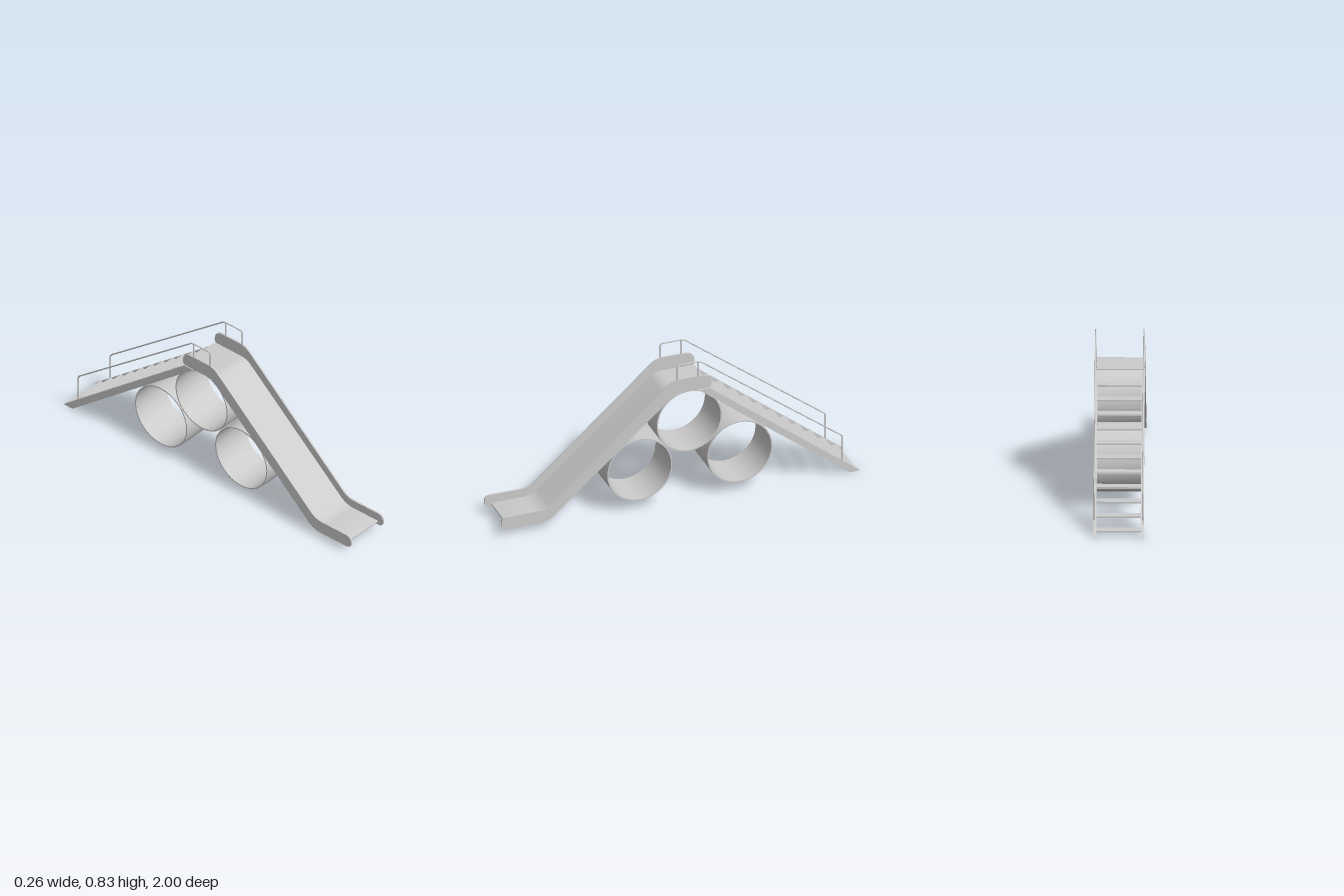
import * as THREE from 'three';
import { mergeGeometries, toCreasedNormals } from 'three/addons/utils/BufferGeometryUtils.js';

const material = new THREE.MeshStandardMaterial({ color: 0xcccccc });

// Extrude a side profile, drawn as (z, y), across x and centre it on x
function extrudeAcross(shape, width, x = 0, curveSegments = 10) {
  const geometry = new THREE.ExtrudeGeometry(shape, { depth: width, bevelEnabled: false, curveSegments });
  geometry.translate(0, 0, -width / 2);
  geometry.rotateY(-Math.PI / 2);
  geometry.translate(x, 0, 0);
  return toCreasedNormals(geometry, 0.6);
}

// Closed shape from [z, y, cornerRadius] points, with rounded corners
function roundedShape(points) {
  const shape = new THREE.Shape();
  const n = points.length;
  const v = points.map(([z, y]) => new THREE.Vector2(z, y));
  points.forEach(([, , r = 0], i) => {
    const p = v[i];
    const toward = (q) => p.clone().add(q.clone().sub(p).setLength(r));
    const a = r ? toward(v[(i + n - 1) % n]) : p;
    const b = r ? toward(v[(i + 1) % n]) : p;
    if (i === 0) shape.moveTo(a.x, a.y);
    else shape.lineTo(a.x, a.y);
    if (r) shape.quadraticCurveTo(p.x, p.y, b.x, b.y);
  });
  shape.closePath();
  return shape;
}

// Round bar along (z, y) points at a fixed x, with small bends at the corners
function bar(points, x, radius = 0.004, bend = 0.012) {
  const v = points.map(([z, y]) => new THREE.Vector3(x, y, z));
  const tubes = [];
  const add = (curve, segments) => tubes.push(new THREE.TubeGeometry(curve, segments, radius, 12));
  let start = v[0];
  for (let i = 1; i < v.length - 1; i++) {
    const a = v[i].clone().add(v[i - 1].clone().sub(v[i]).setLength(bend));
    const b = v[i].clone().add(v[i + 1].clone().sub(v[i]).setLength(bend));
    add(new THREE.LineCurve3(start, a), 1);
    add(new THREE.QuadraticBezierCurve3(a, v[i], b), 5);
    start = b;
  }
  add(new THREE.LineCurve3(start, v[v.length - 1]), 1);
  return mergeGeometries(tubes);
}

export function createModel() {
  const model = new THREE.Group();
  model.name = 'slide';
  const addMesh = (name, geometry) => {
    const mesh = new THREE.Mesh(geometry, material);
    mesh.name = name;
    model.add(mesh);
  };

  // Sliding surface: platform, slope and run-out in one thin sheet
  const sheet = roundedShape([
    [0.965, 0.05, 0.0045], [0.965, 0.06, 0.0045], [0.744, 0.06, 0.05], [0.05, 0.665, 0.04], [-0.17, 0.665],
    [-0.17, 0.658], [0.046, 0.658, 0.04], [0.741, 0.05, 0.05],
  ]);
  addMesh('slideSurface', extrudeAcross(sheet, 0.246));

  // Side profiles
  const sidePanel = roundedShape([
    [1.0, 0.036, 0.035], [1.0, 0.107, 0.035], [0.754, 0.107, 0.045], [0.04, 0.74, 0.04],
    [-0.172, 0.74, 0.055], [-0.172, 0.662, 0.026], [0.026, 0.662], [0.739, 0.036, 0.05],
  ]);
  const stringer = roundedShape([[-1.0, 0], [-0.94, 0], [-0.1, 0.657], [-0.16, 0.657]]);

  for (const side of [-1, 1]) {
    const label = side > 0 ? 'left' : 'right';
    addMesh(label + 'SidePanel', extrudeAcross(sidePanel, 0.01, side * 0.126));
    addMesh(label + 'Stringer', extrudeAcross(stringer, 0.016, side * 0.1235));

    // Handrail with its upper post
    const rail = [[0.017, 0.73], [0.017, 0.823], [-0.112, 0.823], [-0.903, 0.224], [-0.903, 0.07]];
    addMesh(label + 'Handrail', bar(rail, side * 0.126));
    addMesh(label + 'HandrailPost', bar([[-0.1, 0.73], [-0.1, 0.823]], side * 0.126));
  }

  // Stair treads
  for (let i = 0; i < 11; i++) {
    const tread = new THREE.BoxGeometry(0.235, 0.009, 0.058);
    tread.translate(0, 0.029 + i * 0.0565, -0.935 + i * 0.0722);
    addMesh('tread' + (i + 1), tread);
  }

  // Three crawl-through pipes stacked under the slide
  const pipes = { topPipe: [-0.053, 0.476], frontPipe: [0.223, 0.236], backPipe: [-0.335, 0.236] };
  for (const [name, [z, y]] of Object.entries(pipes)) {
    const ring = new THREE.Shape().absarc(z, y, 0.182, 0, Math.PI * 2);
    ring.holes.push(new THREE.Path().absarc(z, y, 0.175, 0, Math.PI * 2, true));
    addMesh(name, extrudeAcross(ring, 0.234, 0, 16));
  }
  return model;
}
